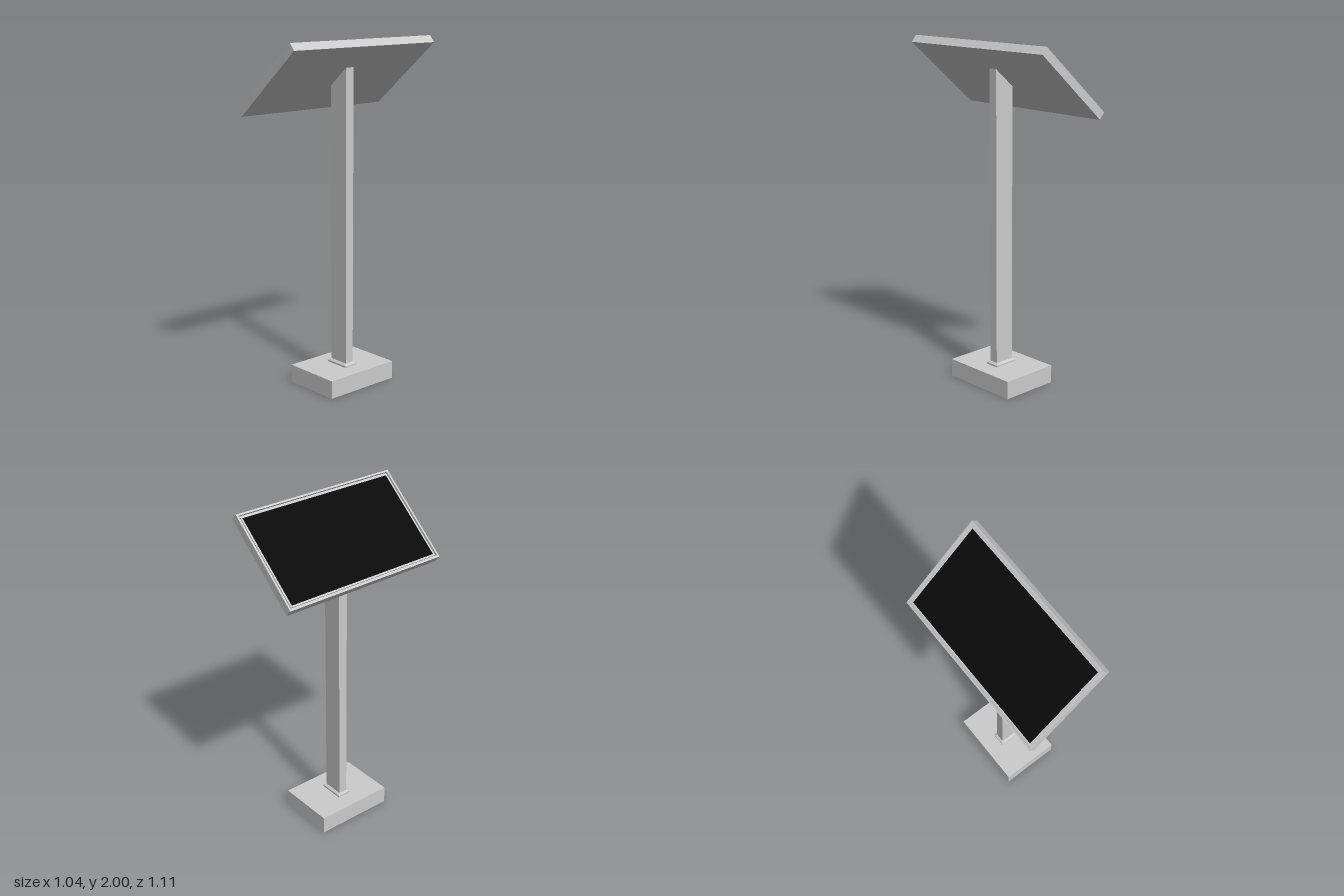
import * as THREE from 'three';

const grey = new THREE.MeshStandardMaterial({ color: 0xcccccc, flatShading: true });
const black = new THREE.MeshStandardMaterial({ color: 0x0a0a0a });

const TILT = THREE.MathUtils.degToRad(40.2);
const YAW = THREE.MathUtils.degToRad(-130);

function add(parent, name, geometry, material = grey) {
  const mesh = new THREE.Mesh(geometry, material);
  mesh.name = name;
  parent.add(mesh);
  return mesh;
}

// Box standing on y = y0; edit(v, isTop) may move its corners
function block(w, h, d, y0, edit) {
  const g = new THREE.BoxGeometry(w, h, d).translate(0, y0 + h / 2, 0);
  if (edit) {
    const p = g.attributes.position;
    const v = new THREE.Vector3();
    for (let i = 0; i < p.count; i++) {
      v.fromBufferAttribute(p, i);
      edit(v, v.y > y0 + h / 2);
      p.setXYZ(i, v.x, v.y, v.z);
    }
    g.computeVertexNormals();
  }
  return g;
}

// Flat rectangular frame lying on y = y0
function frame(w, d, border, h, y0) {
  const rect = (T, a, b) => {
    const s = new T();
    s.moveTo(-a, -b).lineTo(a, -b).lineTo(a, b).lineTo(-a, b).closePath();
    return s;
  };
  const shape = rect(THREE.Shape, w / 2, d / 2);
  shape.holes.push(rect(THREE.Path, w / 2 - border, d / 2 - border));
  return new THREE.ExtrudeGeometry(shape, { depth: h, bevelEnabled: false })
    .rotateX(-Math.PI / 2).translate(0, y0, 0);
}

export function createModel() {
  const model = new THREE.Group();
  model.name = 'displayStand';

  // Everything is built facing +z, then turned
  const stand = new THREE.Group();
  stand.name = 'stand';
  stand.position.set(0.0225, 0, 0.0225);
  stand.rotation.y = YAW;
  model.add(stand);

  add(stand, 'base', block(0.48, 0.105, 0.355, 0));

  // Collar: thin plate with a sloped shoulder
  add(stand, 'collarPlate', block(0.085, 0.01, 0.152, 0.105));
  add(stand, 'collarShoulder', block(0.085, 0.01, 0.152, 0.115, (v, top) => {
    if (top) { v.x *= 0.74; v.z *= 0.86; }
  }));

  // Post, its top cut to the slope of the panel
  add(stand, 'post', block(0.055, 1.685, 0.124, 0.105, (v, top) => {
    if (top) v.y -= v.z * Math.tan(TILT);
  }));

  // Tilted panel: local y is the screen normal
  const panel = new THREE.Group();
  panel.name = 'panel';
  panel.position.set(0, 1.774, 0.018);
  panel.rotation.x = TILT;
  stand.add(panel);

  const W = 1.04, D = 0.587;
  add(panel, 'panelBack', block(W, 0.038, D, 0));
  add(panel, 'outerRim', frame(W, D, 0.011, 0.012, 0.038));
  add(panel, 'innerBezel', frame(W - 0.036, D - 0.036, 0.01, 0.008, 0.038));
  add(panel, 'screen', block(W - 0.056, 0.007, D - 0.056, 0.038), black);

  return model;
}
